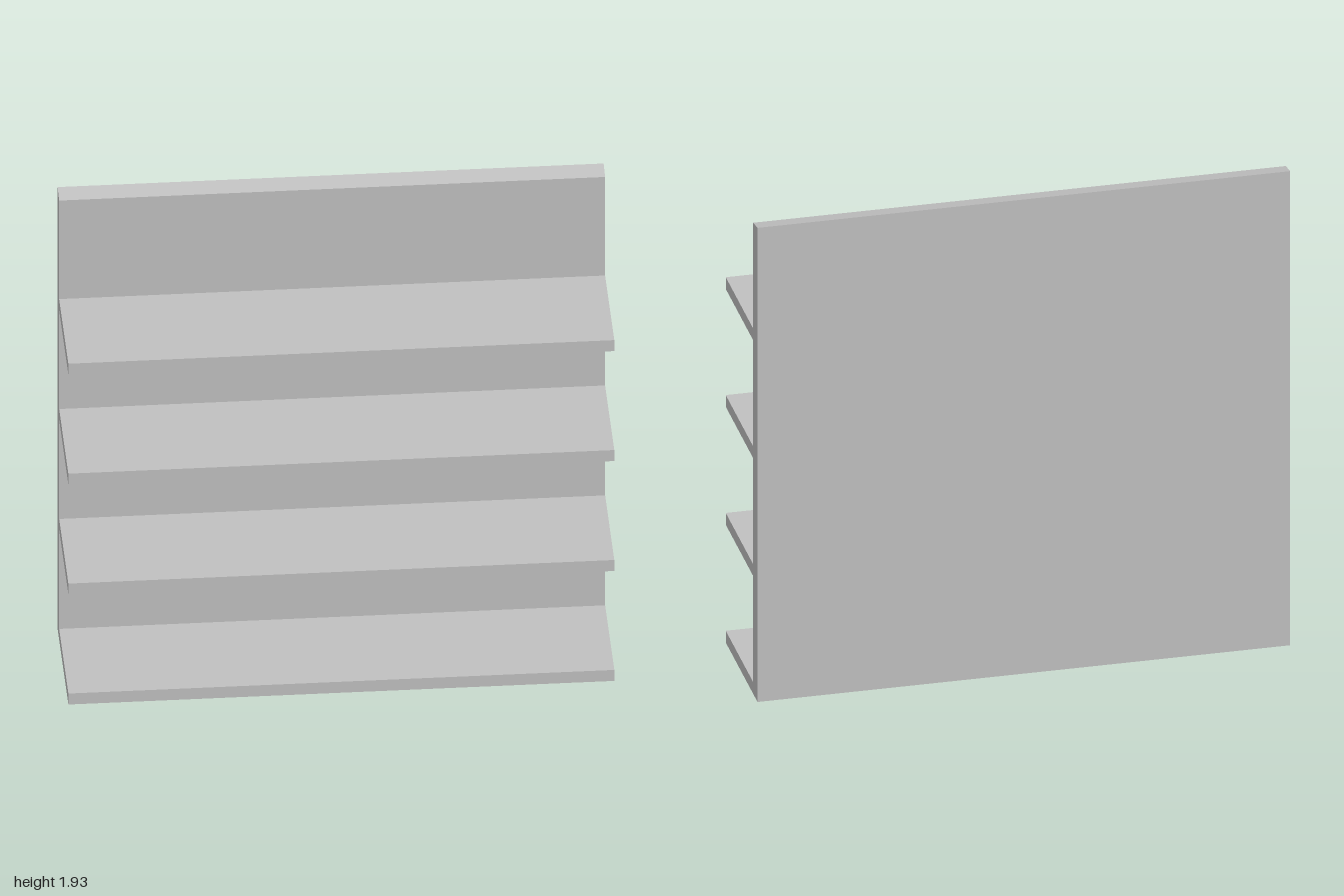
import * as THREE from 'three';

const WIDTH = 2;
const BACK = -0.25, PANEL_FRONT = -0.18, FRONT = 0.25;

// Extrudes a side profile of [z, y] points across the full width
function acrossWidth(points) {
  const shape = new THREE.Shape(points.map(([z, y]) => new THREE.Vector2(z, y)));
  return new THREE.ExtrudeGeometry(shape, { depth: WIDTH, bevelEnabled: false })
    .rotateY(-Math.PI / 2)
    .translate(WIDTH / 2, 0, 0);
}

export function createModel() {
  const group = new THREE.Group();
  group.name = 'shelfUnit';
  const grey = new THREE.MeshStandardMaterial({ color: 0xc0c0c0 });
  grey.name = 'light grey';

  // Back panel, its top edge sloping down towards the front
  const panel = new THREE.Mesh(
    acrossWidth([[BACK, 0], [PANEL_FRONT, 0], [PANEL_FRONT, 1.922], [BACK, 1.935]]), grey);
  panel.name = 'backPanel';
  group.add(panel);

  // Four evenly spaced shelves, the lowest resting on the floor
  const thickness = 0.048, spacing = 0.481, depth = FRONT - PANEL_FRONT;
  const shelfGeometry = new THREE.BoxGeometry(WIDTH, thickness, depth);
  for (let i = 0; i < 4; i++) {
    const shelf = new THREE.Mesh(shelfGeometry, grey);
    shelf.name = `shelf${i + 1}`;
    shelf.position.set(0, thickness / 2 + i * spacing, PANEL_FRONT + depth / 2);
    group.add(shelf);
  }
  return group;
}
